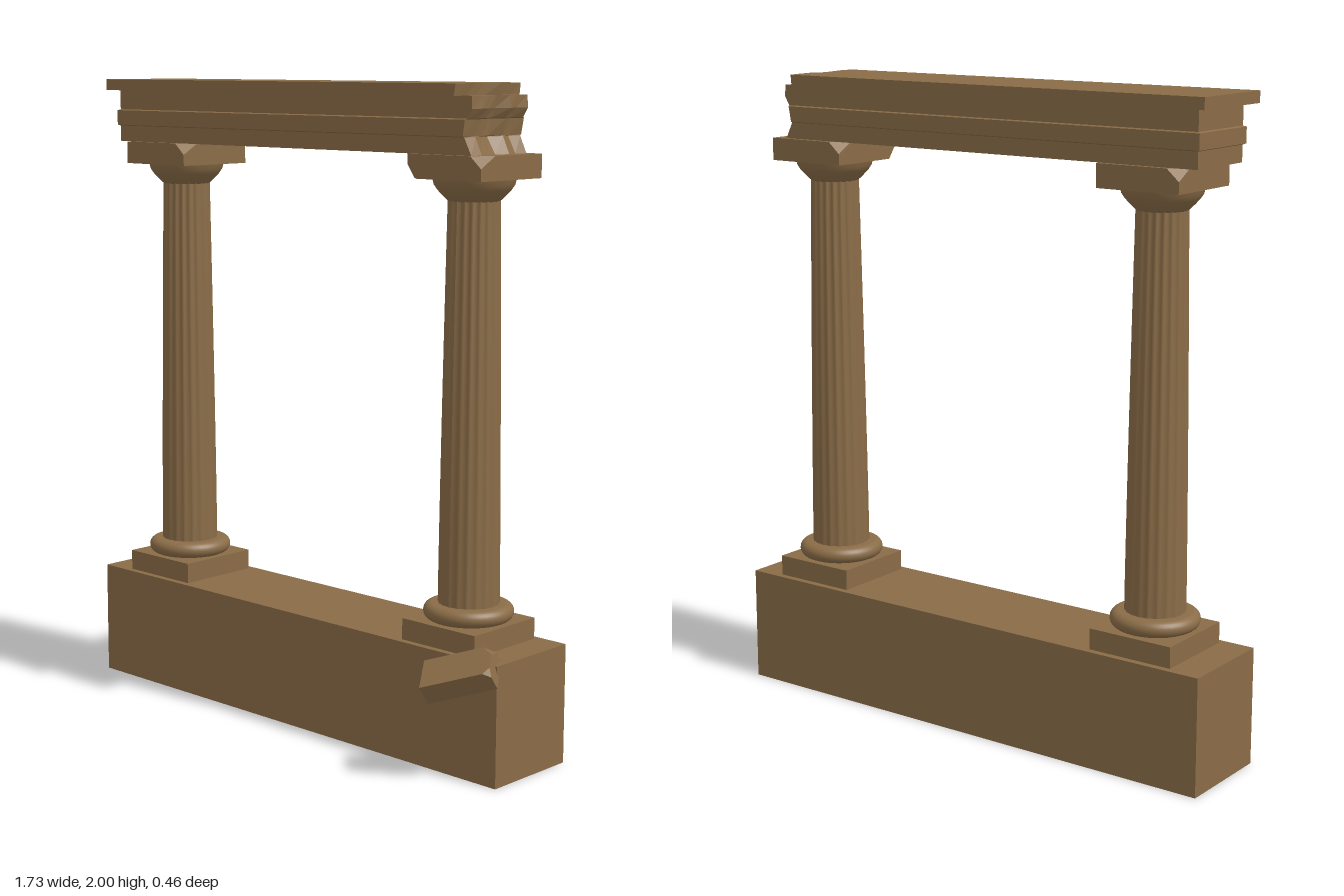
import * as THREE from 'three';
import { ConvexGeometry } from 'three/addons/geometries/ConvexGeometry.js';

const stone = new THREE.MeshStandardMaterial({ color: 0x8a6c47 });
stone.name = 'weathered stone';
const MID_Z = -0.07;

function mesh(name, geometry, x = 0, y = 0, z = 0) {
  const m = new THREE.Mesh(geometry, stone);
  m.name = name;
  m.position.set(x, y, z);
  return m;
}

// Box with chosen corners broken off; cuts maps "sx,sy,sz" to chip sizes along x, y, z
function chippedBox(w, h, d, cuts) {
  const pts = [];
  for (const sx of [-1, 1]) for (const sy of [-1, 1]) for (const sz of [-1, 1]) {
    const p = new THREE.Vector3(sx * w / 2, sy * h / 2, sz * d / 2);
    const c = cuts[`${sx},${sy},${sz}`];
    if (!c) { pts.push(p); continue; }
    pts.push(p.clone().setX(p.x - sx * c[0]), p.clone().setY(p.y - sy * c[1]), p.clone().setZ(p.z - sz * c[2]));
  }
  return new ConvexGeometry(pts);
}

// Long block with a moulded section and a jagged break at its right end.
// rows: [y, half depth, left x, right x]; jag: offsets of the break across the depth
function brokenBlock(rows, jag) {
  const n = rows.length - 1, k = jag.length - 1;
  const g = new THREE.BoxGeometry(1, n, 2, 1, n, k);
  const p = g.attributes.position;
  for (let i = 0; i < p.count; i++) {
    const row = Math.round(p.getY(i) + n / 2);
    const col = Math.round((p.getZ(i) + 1) / 2 * k);
    const [y, half, left, right] = rows[row];
    const x = p.getX(i) < 0 ? left : right + jag[col] * (row % 2 ? 1 : 0.7);
    p.setXYZ(i, x, y, p.getZ(i) * half);
  }
  const flat = g.toNonIndexed();
  flat.computeVertexNormals();
  return flat;
}

// Tapered shaft whose shallow flutes deepen towards the top
function shaftGeometry() {
  const y0 = 0.47, y1 = 1.68, flutes = 20;
  const g = new THREE.CylinderGeometry(1, 1, 1, flutes * 6, 12, true);
  const p = g.attributes.position;
  for (let i = 0; i < p.count; i++) {
    const t = p.getY(i) + 0.5;
    const a = Math.atan2(p.getX(i), p.getZ(i));
    const r = 0.092 - 0.016 * Math.pow(t, 1.3);
    const depth = 0.003 + 0.003 * t;
    const R = r - depth * Math.abs(Math.sin(a * flutes / 2));
    p.setXYZ(i, Math.sin(a) * R, y0 + t * (y1 - y0), Math.cos(a) * R);
  }
  g.computeVertexNormals();
  return g;
}

function column(name, x, abacusCuts) {
  const c = new THREE.Group();
  c.name = name;
  c.position.set(x, 0, MID_Z);
  c.add(mesh('plinth', new THREE.BoxGeometry(0.278, 0.065, 0.278), 0, 0.3975, 0));

  // Rounded base ring
  const ring = [[0, 0.43], [0.115, 0.43]];
  for (let i = 1; i < 12; i++) {
    const a = -Math.PI / 2 + Math.PI * i / 12;
    ring.push([0.11 + 0.025 * Math.cos(a), 0.455 + 0.025 * Math.sin(a)]);
  }
  ring.push([0.11, 0.48], [0.08, 0.48]);
  c.add(mesh('baseRing', new THREE.LatheGeometry(ring.map(q => new THREE.Vector2(...q)), 40)));

  c.add(mesh('shaft', shaftGeometry()));

  // Swelling cushion under the square capital slab
  const cushion = [[0.072, 1.665], [0.08, 1.67], [0.092, 1.682], [0.107, 1.698], [0.117, 1.713], [0.122, 1.732]];
  c.add(mesh('capitalCushion', new THREE.LatheGeometry(cushion.map(q => new THREE.Vector2(...q)), 40)));
  c.add(mesh('capitalSlab', chippedBox(0.272, 0.07, 0.272, abacusCuts), 0, 1.765, 0));
  return c;
}

export function createModel() {
  const model = new THREE.Group();
  model.name = 'ruinedColonnade';

  model.add(mesh('foundation', new THREE.BoxGeometry(1.705, 0.365, 0.32), -0.0125, 0.1825, MID_Z));

  model.add(column('rightColumn', -0.62, {
    '1,1,1': [0.04, 0.035, 0.06], '-1,1,-1': [0.04, 0.035, 0.06],
  }));
  model.add(column('leftColumn', 0.6, {
    '1,1,1': [0.04, 0.035, 0.06], '-1,1,-1': [0.04, 0.035, 0.06], '-1,-1,1': [0.035, 0.04, 0.03],
  }));

  // Beam with a slightly raised middle band
  model.add(mesh('beam', brokenBlock([
    [1.80, 0.12, -0.805, 0.692], [1.85, 0.12, -0.805, 0.668], [1.853, 0.127, -0.813, 0.666],
    [1.90, 0.127, -0.813, 0.675], [1.903, 0.12, -0.805, 0.678], [1.93, 0.12, -0.805, 0.695],
    [1.966, 0.12, -0.805, 0.692],
  ], [0, -0.012, 0.002, -0.025, -0.012, 0, -0.008]), 0, 0, MID_Z));

  // Overhanging top slab
  model.add(mesh('cornice', brokenBlock([
    [1.965, 0.15, -0.84, 0.648], [2.0, 0.15, -0.84, 0.655],
  ], [-0.012, -0.003, 0, -0.022, -0.012, 0, -0.004]), 0, 0, MID_Z));

  // Fallen piece leaning over the front edge
  const along = new THREE.Vector3(0.868, 0.313, -0.386).normalize();
  const across = new THREE.Vector3(0.046, -0.06, 0.1);
  across.addScaledVector(along, -across.dot(along)).normalize();
  const up = new THREE.Vector3().crossVectors(across, along);
  const rubble = mesh('fallenFragment', chippedBox(0.215, 0.065, 0.115, {
    '1,1,-1': [0.03, 0.03, 0.04], '1,1,1': [0.02, 0.02, 0.02], '-1,-1,-1': [0.02, 0.03, 0.03],
  }));
  rubble.quaternion.setFromRotationMatrix(new THREE.Matrix4().makeBasis(along, up, across));
  rubble.position.set(0.74, 0.33, 0.132);
  model.add(rubble);

  return model;
}
